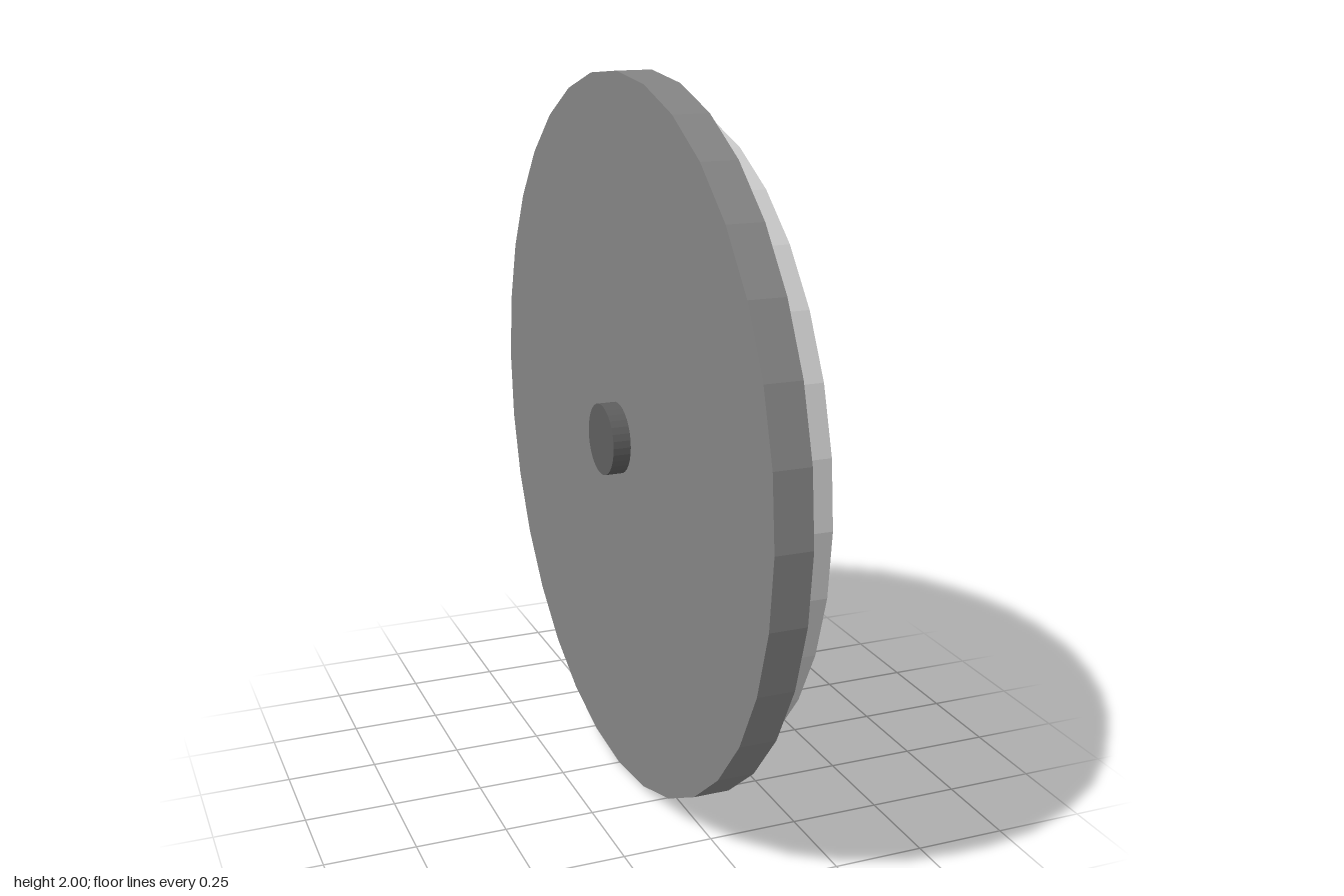
import * as THREE from 'three';

const SIDES = 32;

function material(color) {
  return new THREE.MeshStandardMaterial({ color, flatShading: true });
}

export function createModel() {
  const faceMat = material(0x848484);
  const rimMat = material(0xcccccc);
  const darkMat = material(0x5e5e5e);

  // The dial is modelled facing +z, then turned to face +x
  const dial = new THREE.Group();
  dial.name = 'wallClock';

  function add(name, geometry, mat, z = 0, turn = 0) {
    const mesh = new THREE.Mesh(geometry, mat);
    mesh.name = name;
    mesh.position.z = z;
    mesh.rotation.z = turn;
    dial.add(mesh);
    return mesh;
  }

  const disc = (radius, depth) =>
    new THREE.CylinderGeometry(radius, radius, depth, SIDES).rotateX(Math.PI / 2);

  // Backing disc and the hub that runs through it
  add('face', disc(1, 0.1), faceMat, -0.025);
  add('hub', disc(0.1, 0.2), darkMat, -0.025);

  // Raised rim
  const ring = new THREE.Shape().absarc(0, 0, 0.9, 0, Math.PI * 2);
  ring.holes.push(new THREE.Path().absarc(0, 0, 0.8, 0, Math.PI * 2, true));
  add('rim', new THREE.ExtrudeGeometry(ring, {
    depth: 0.195, bevelEnabled: false, curveSegments: SIDES / 2,
  }), rimMat, -0.07);

  // Twelve hour marks
  const mark = new THREE.BoxGeometry(0.044, 0.12, 0.04).translate(0, 0.665, 0);
  for (let i = 0; i < 12; i++) {
    add('hourMark', mark, faceMat, 0.03, -i * Math.PI / 6);
  }

  // Arrow-shaped hands
  function hand(name, neck, tip, headHalf, turn) {
    const s = 0.021;
    const outline = new THREE.Shape([
      [-s, 0], [s, 0], [s, neck], [headHalf, neck], [0, tip], [-headHalf, neck], [-s, neck],
    ].map(([x, y]) => new THREE.Vector2(x, y)));
    add(name, new THREE.ExtrudeGeometry(outline, { depth: 0.02, bevelEnabled: false }),
      darkMat, 0.052, turn);
  }
  hand('hourHand', 0.47, 0.57, 0.05, 0);
  hand('minuteHand', 0.66, 0.75, 0.06, -Math.PI * 5 / 6);

  dial.rotation.y = Math.PI / 2;
  dial.position.y = 1;

  const model = new THREE.Group();
  model.name = 'clock';
  model.add(dial);
  return model;
}
